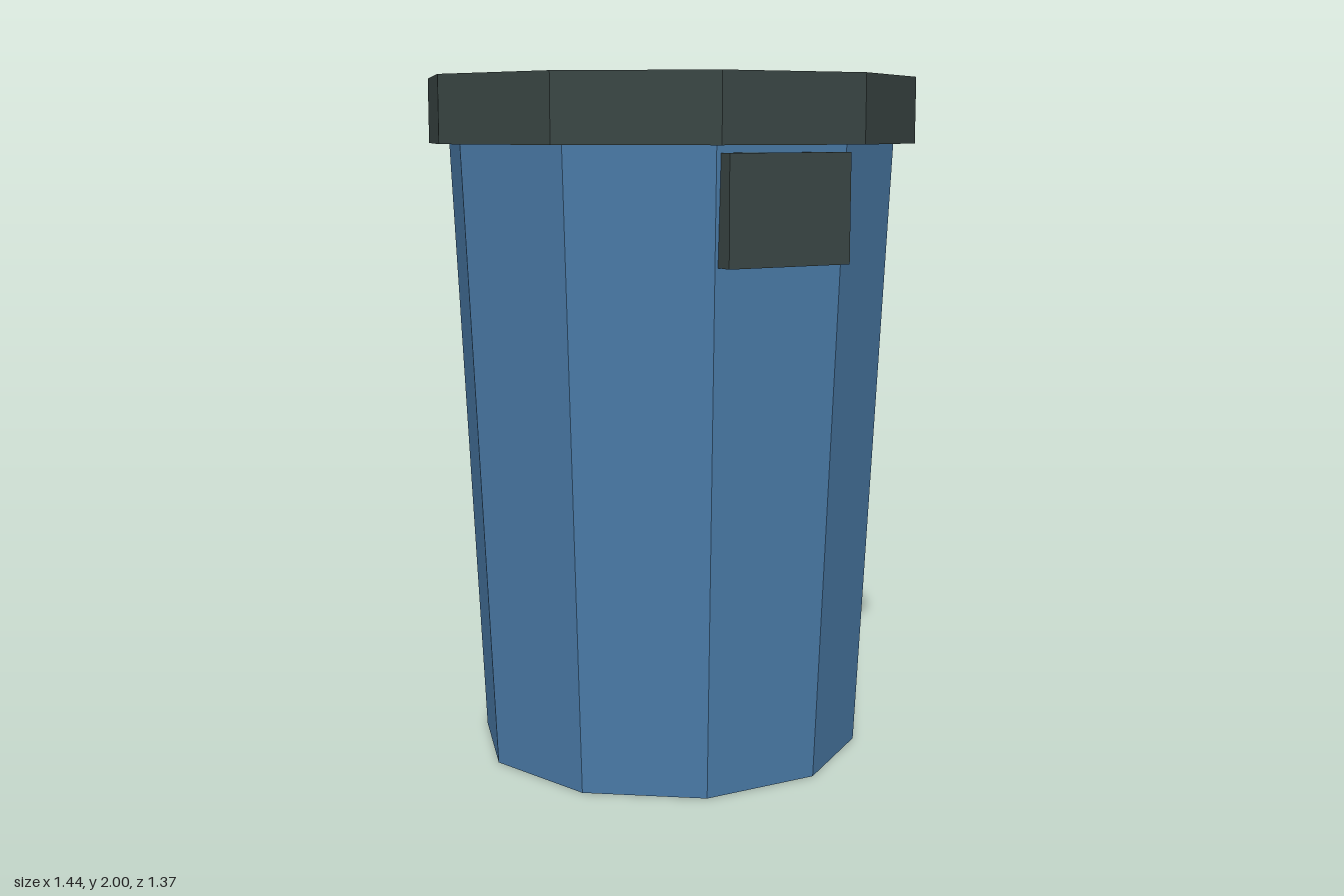
import * as THREE from 'three';

const SIDES = 10;

export function createModel() {
  const binBlue = new THREE.MeshStandardMaterial({ color: 0x4a7ba8, flatShading: true });
  binBlue.name = 'binBlue';
  const lidGrey = new THREE.MeshStandardMaterial({ color: 0x3a4644, flatShading: true });
  lidGrey.name = 'lidGrey';

  const group = new THREE.Group();
  group.name = 'wasteBin';

  function add(name, geometry, material, y, z = 0) {
    const mesh = new THREE.Mesh(geometry, material);
    mesh.name = name;
    mesh.position.set(0, y, z);
    group.add(mesh);
  }

  // Ten-sided drum with flat faces to front and back, corners on the x axis
  const drum = (top, bottom, height) =>
    new THREE.CylinderGeometry(top, bottom, height, SIDES).rotateY(Math.PI / SIDES);

  // Tapered body
  add('body', drum(0.66, 0.573, 1.81), binBlue, 0.905);

  // Overhanging lid
  add('lid', drum(0.722, 0.722, 0.19), lidGrey, 1.905);

  // Front latch plate under the lid, sunk slightly into the body
  add('frontLatch', new THREE.BoxGeometry(0.38, 0.3, 0.08), lidGrey, 1.64, 0.63);

  return group;
}
